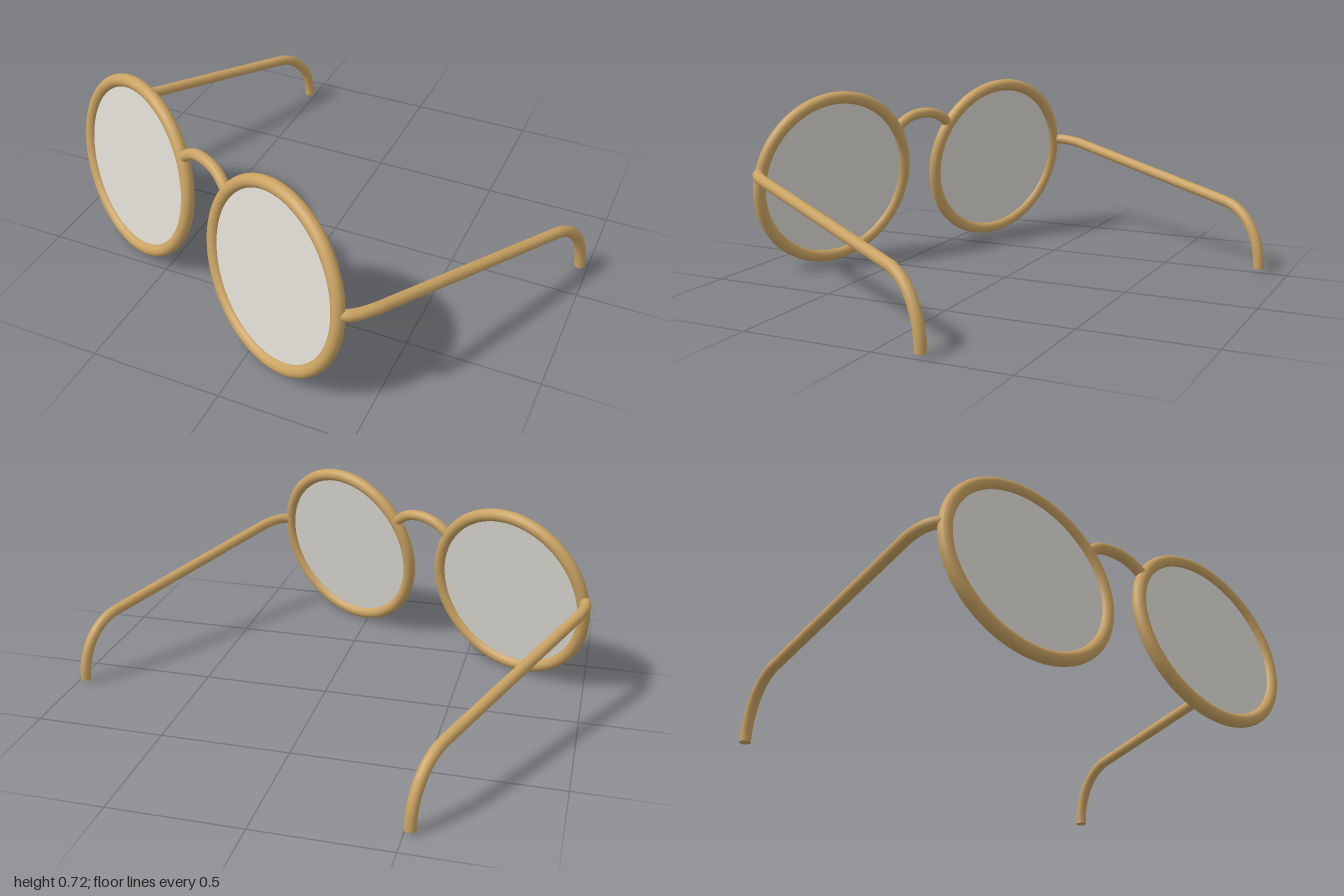
import * as THREE from 'three';

const V = (x, y, z) => new THREE.Vector3(x, y, z);
const frameMat = new THREE.MeshStandardMaterial({ color: 0xc9a262 });
const lensMat = new THREE.MeshStandardMaterial({ color: 0xdcd9d2 });
const WIRE = 0.0215; // radius of bridge and temples
const RIM = 0.338; // centre-line radius of a rim
const HALF = 0.4213; // half the distance between lens centres

function part(name, geometry, material, parent) {
  const mesh = new THREE.Mesh(geometry, material);
  mesh.name = name;
  parent.add(mesh);
  return mesh;
}

// Temple: small hinge bend, straight arm, then an ear hook pointing down
function addTemple(side, parent) {
  const p = (u, y, back) => V(side * u, y, -back);
  const path = new THREE.CurvePath();
  path.add(new THREE.CubicBezierCurve3(
    p(0.757, 0.415, 0.01), p(0.79, 0.416, 0.03), p(0.803, 0.414, 0.08), p(0.808, 0.406, 0.14)));
  path.add(new THREE.LineCurve3(p(0.808, 0.406, 0.14), p(0.823, 0.263, 1.01)));
  path.add(new THREE.CubicBezierCurve3(
    p(0.823, 0.263, 1.01), p(0.825, 0.245, 1.12), p(0.826, 0.14, 1.19), p(0.826, 0.014, 1.19)));

  const temple = new THREE.Group();
  temple.name = side > 0 ? 'leftTemple' : 'rightTemple';
  parent.add(temple);
  part('templeArm', new THREE.TubeGeometry(path, 120, WIRE, 16), frameMat, temple);
  const tip = part('templeTip', new THREE.CircleGeometry(WIRE, 16), frameMat, temple);
  tip.rotation.x = Math.PI / 2;
  tip.position.copy(p(0.826, 0.014, 1.19));
}

export function createModel() {
  const model = new THREE.Group();
  model.name = 'eyeglasses';

  // The whole pair is turned to one side
  const glasses = new THREE.Group();
  glasses.name = 'glasses';
  glasses.position.set(-0.2925, 0, 0.549);
  glasses.rotation.y = THREE.MathUtils.degToRad(-25.75);
  model.add(glasses);

  // Front frame leans back at the top
  const front = new THREE.Group();
  front.name = 'frontFrame';
  front.position.y = 0.36;
  front.rotation.x = THREE.MathUtils.degToRad(-9.3);
  glasses.add(front);

  for (const side of [-1, 1]) {
    const label = side > 0 ? 'left' : 'right';
    const rim = part(label + 'Rim', new THREE.TorusGeometry(RIM, 0.025, 20, 96), frameMat, front);
    rim.position.x = side * HALF;
    const lens = part(label + 'Lens', new THREE.CylinderGeometry(RIM, RIM, 0.01, 64), lensMat, front);
    lens.rotation.x = Math.PI / 2;
    lens.position.x = side * HALF;
    addTemple(side, glasses);
  }

  // Arched bridge between the rims
  const arch = new THREE.CatmullRomCurve3([
    V(-0.142, 0.172, 0), V(-0.115, 0.202, 0), V(-0.065, 0.232, 0), V(0, 0.242, 0),
    V(0.065, 0.232, 0), V(0.115, 0.202, 0), V(0.142, 0.172, 0),
  ]);
  part('bridge', new THREE.TubeGeometry(arch, 40, WIRE, 16), frameMat, front);

  return model;
}
